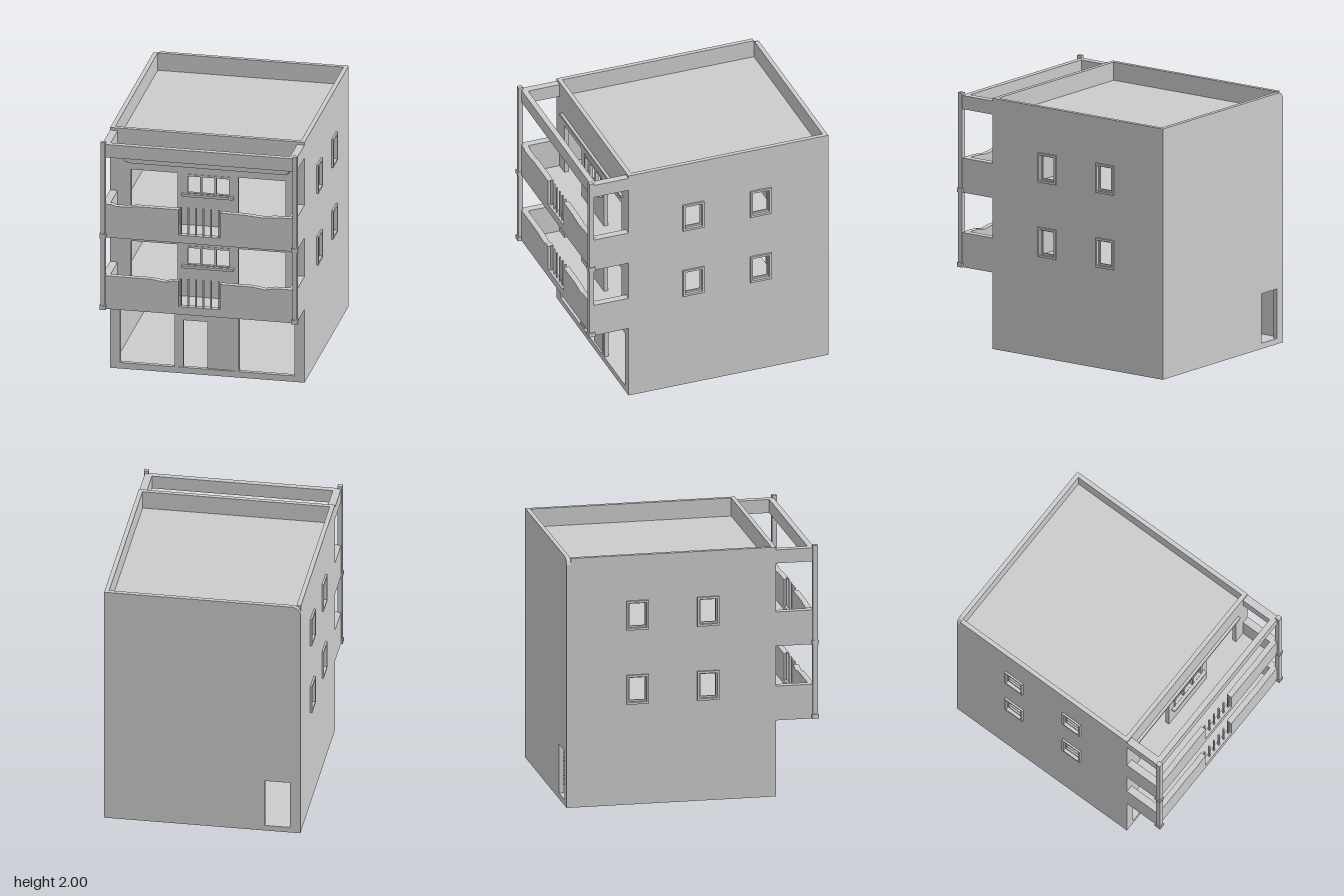
import * as THREE from 'three';

const mat = new THREE.MeshStandardMaterial({ color: 0xcccccc, flatShading: true });
const W = 0.77, BACK = -1, FRONT = 0.66, T = 0.035;
const STOREYS = [0.61, 1.205]; // undersides of the upper floors

const rect = (x0, y0, x1, y1) => [[x0, y0], [x1, y0], [x1, y1], [x0, y1]];

function box(parent, name, x0, x1, y0, y1, z0, z1) {
  const m = new THREE.Mesh(new THREE.BoxGeometry(x1 - x0, y1 - y0, z1 - z0), mat);
  m.position.set((x0 + x1) / 2, (y0 + y1) / 2, (z0 + z1) / 2);
  m.name = name;
  parent.add(m);
  return m;
}

// Flat panel with holes, extruded along +z
function panel(parent, name, outline, holes, depth) {
  const toV = (p) => p.map(([x, y]) => new THREE.Vector2(x, y));
  const shape = new THREE.Shape(toV(outline));
  for (const h of holes) shape.holes.push(new THREE.Path(toV(h)));
  const geo = new THREE.ExtrudeGeometry(shape, { depth, bevelEnabled: false });
  const m = new THREE.Mesh(geo, mat);
  m.name = name;
  parent.add(m);
  return m;
}

// Panel drawn in (z, y), thickness running towards -x from x
function sidePanel(parent, name, outline, holes, depth, x) {
  const m = panel(parent, name, outline, holes, depth);
  m.rotation.y = -Math.PI / 2;
  m.position.x = x;
}

// Panel drawn in (x, z), thickness running down from y
function floorPanel(parent, name, outline, holes, depth, y) {
  const m = panel(parent, name, outline, holes, depth);
  m.rotation.x = Math.PI / 2;
  m.position.y = y;
}

function buildShell(g) {
  // Front wall: shop openings below, two doors and a window on each upper storey
  const holes = [
    rect(-0.69, 0.05, -0.26, 0.525), rect(-0.23, 0.05, 0.22, 0.48), rect(0.25, 0.05, 0.69, 0.525),
  ];
  for (const y of STOREYS) {
    holes.push(rect(-0.605, y + 0.035, -0.235, y + 0.46), rect(0.245, y + 0.035, 0.62, y + 0.46));
    holes.push(rect(-0.17, y + 0.29, 0.185, y + 0.455));
  }
  panel(g, 'frontWall', rect(-W, 0, W, 2), holes, T).position.z = FRONT - T;

  // Back wall with a small door and a worn top corner
  const back = [[-W, 0], [W, 0], [W, 2], [-W + 0.05, 2], [-W + 0.02, 1.985], [-W, 1.95]];
  panel(g, 'backWall', back, [rect(-0.69, 0.045, -0.49, 0.44)], T).position.z = BACK;

  // Side walls with two windows per upper storey
  const windows = [];
  for (const y of [0.805, 1.4]) for (const z of [0.035, -0.525]) windows.push([z, y]);
  for (const s of [-1, 1]) {
    sidePanel(g, 'sideWall', rect(BACK + T, 0, FRONT - T, 2),
      windows.map(([z, y]) => rect(z + 0.015, y + 0.015, z + 0.16, y + 0.22)), T, s > 0 ? W : -W + T);
    for (const [z, y] of windows) {
      sidePanel(g, 'sideWindowFrame', rect(z, y, z + 0.175, y + 0.235),
        [rect(z + 0.018, y + 0.018, z + 0.157, y + 0.217)], 0.02, s > 0 ? W + 0.015 : -W + 0.005);
      sidePanel(g, 'sideWindowSash', rect(z + 0.012, y + 0.012, z + 0.163, y + 0.223),
        [rect(z + 0.027, y + 0.03, z + 0.148, y + 0.207)], 0.014, s > 0 ? W - 0.012 : -W + 0.026);
    }
  }

  // Ground slab, upper floors with stairwells, flat roof sunk behind the parapet
  const inside = rect(-W + 0.01, BACK + 0.01, W - 0.01, FRONT - 0.01);
  floorPanel(g, 'groundSlab', inside, [], 0.045, 0.045);
  STOREYS.forEach((y) => {
    floorPanel(g, 'floorSlab', inside, [rect(0, -0.94, 0.66, -0.66)], 0.035, y + 0.035);
  });
  floorPanel(g, 'roofSlab', inside, [], 0.035, 1.855);
}

function buildEntrance(g) {
  // Door frame with one closed leaf
  panel(g, 'doorFrame', rect(-0.23, 0.045, 0.22, 0.48), [rect(-0.192, 0.05, 0.185, 0.44)], 0.02).position.z = 0.632;
  box(g, 'doorLeaf', 0, 0.19, 0.045, 0.445, 0.632, 0.645);
}

function buildStairs(g) {
  const n = 12;
  [[0.045, 0.645], [0.645, 1.24]].forEach(([y0, y1], f) => {
    const x0 = f ? -0.28 : -0.24, run = 0.86 / n, rise = (y1 - y0) / n;
    const pts = [[x0, y0]];
    for (let i = 0; i < n; i++) {
      pts.push([x0 + i * run, y0 + (i + 1) * rise], [x0 + (i + 1) * run, y0 + (i + 1) * rise]);
    }
    pts.push([x0 + n * run, y1 - 0.06], [x0 + run, y0]);
    panel(g, 'stairFlight', pts, [], 0.24).position.z = -0.92;
    // Sloping handrail on posts
    const slope = rise / run, railX = x0 + n * run;
    const rail = [[x0, y0 + 0.15], [railX, y0 + 0.15 + slope * n * run],
      [railX, y0 + 0.17 + slope * n * run], [x0, y0 + 0.17]];
    panel(g, 'handrail', rail, [], 0.015).position.z = -0.7;
    for (let i = 0; i < n; i += 3) {
      const x = x0 + (i + 0.5) * run;
      box(g, 'handrailPost', x - 0.006, x + 0.006, y0 + i * rise, y0 + i * rise + 0.18, -0.7, -0.688);
    }
  });
}

function buildBalcony(g, y, level) {
  const top = y + 0.275;
  box(g, 'balconySlab', -W, W, y, y + 0.035, FRONT - 0.01, 0.965);

  // Front parapet with a central gap and a chipped top edge
  const chips = level
    ? [[0.6, top - 0.004], [0.5, top - 0.014], [0.36, top - 0.002]]
    : [[0.6, top], [0.52, top - 0.016], [0.42, top]];
  const left = level
    ? [[-0.5, top], [-0.55, top - 0.01], [-0.66, top - 0.012], [-0.69, top]]
    : [[-0.2, top], [-0.27, top - 0.016], [-0.38, top]];
  const outline = [[-W, y], [W, y], [W, top], ...chips, [0.165, top], [0.165, y + 0.065],
    [-0.165, y + 0.065], [-0.165, top], ...left, [-W, top]];
  panel(g, 'balconyFrontParapet', outline, [], 0.045).position.z = 0.92;

  // Upright bars in the gap
  for (let i = 0; i < 6; i++) {
    const x = -0.15 + i * 0.06;
    box(g, 'railingBar', x - 0.006, x + 0.006, y + 0.06, top + 0.015, 0.937, 0.949);
  }

  for (const s of [-1, 1]) {
    const side = (name, a, b, ...rest) => box(g, name, Math.min(s * a, s * b), Math.max(s * a, s * b), ...rest);
    side('balconySideParapet', 0.71, W, y, top, FRONT - 0.01, 0.925);
    side('cornerPost', 0.742, 0.778, y, level ? 2 : 1.21, 0.95, 0.988);
    side('cornerPostBase', 0.735, 0.785, y, y + 0.035, 0.942, 0.995);
  }
}

function buildFrontWindow(g, y) {
  // Three-pane frame, sill and long ledge above
  const panes = [0, 1, 2].map((i) => {
    const x = -0.155 + i * 0.114;
    return rect(x, y + 0.305, x + 0.098, y + 0.44);
  });
  panel(g, 'frontWindowFrame', rect(-0.172, y + 0.288, 0.187, y + 0.457), panes, 0.025).position.z = 0.64;
  box(g, 'frontWindowSill', -0.2, 0.21, y + 0.277, y + 0.298, 0.65, 0.69);
  box(g, 'ledgeLower', -0.63, 0.63, y + 0.515, y + 0.53, 0.65, 0.672);
  box(g, 'ledgeUpper', -0.65, 0.65, y + 0.53, y + 0.552, 0.65, 0.682);
}

function buildTopFrame(g) {
  // Open beam frame over the upper balcony
  box(g, 'topFrontBeam', -W, W, 1.87, 1.978, 0.92, 0.965);
  box(g, 'topSideBeamLeft', 0.71, W, 1.87, 1.978, FRONT - 0.01, 0.925);
  box(g, 'topSideBeamRight', -W, -0.71, 1.87, 1.978, FRONT - 0.01, 0.925);
}

export function createModel() {
  const model = new THREE.Group();
  model.name = 'house';
  const part = (name, build) => {
    const g = new THREE.Group();
    g.name = name;
    build(g);
    model.add(g);
  };
  part('shell', buildShell);
  part('entrance', buildEntrance);
  part('stairs', buildStairs);
  STOREYS.forEach((y, i) => {
    part('balcony', (g) => buildBalcony(g, y, i));
    part('frontWindow', (g) => buildFrontWindow(g, y));
  });
  part('topFrame', buildTopFrame);
  return model;
}
